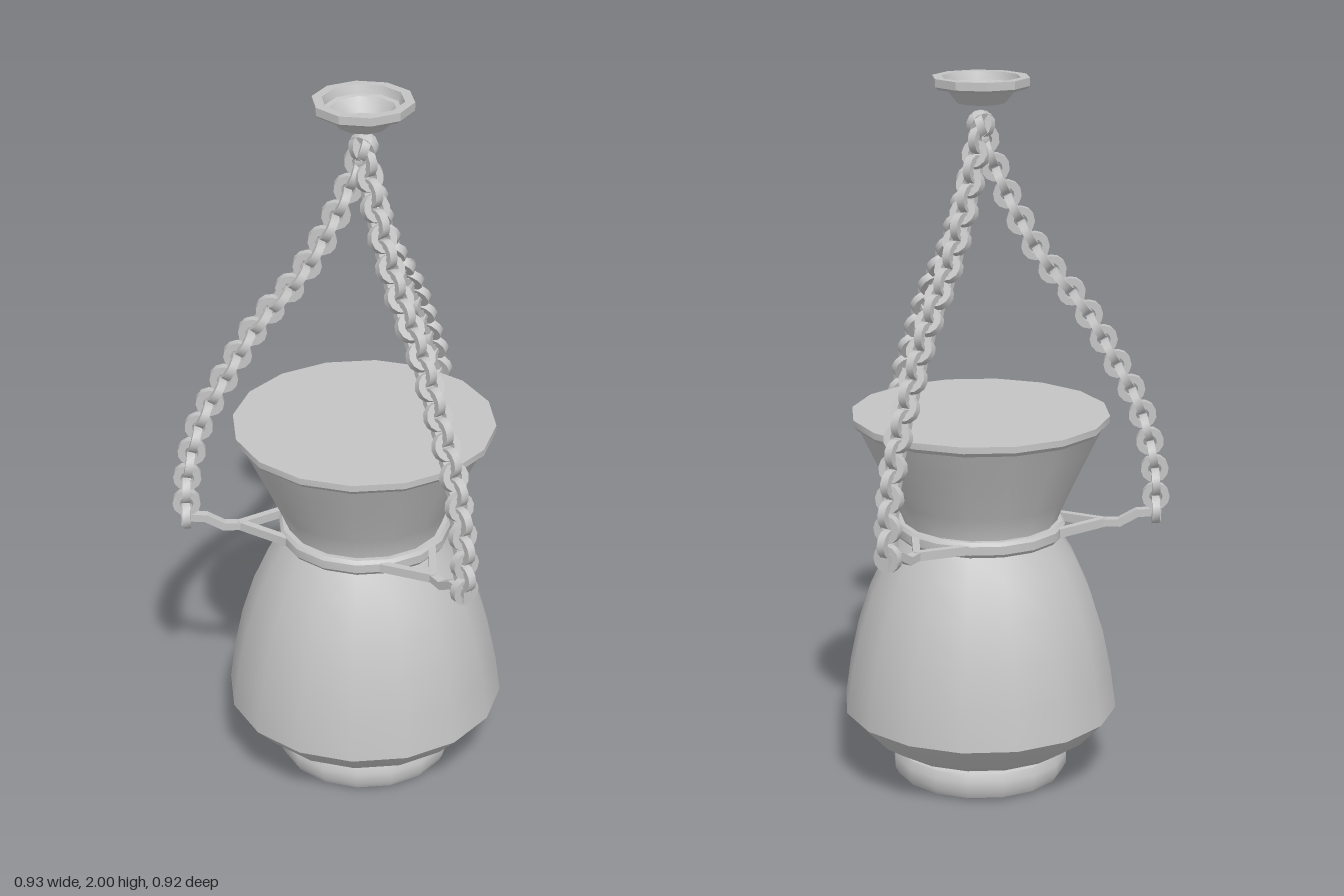
import * as THREE from 'three';
import { toCreasedNormals } from 'three/addons/utils/BufferGeometryUtils.js';

const metal = new THREE.MeshStandardMaterial({ color: 0xc4c4c4 });
metal.name = 'grey metal';

// Turned part from [radius, height] pairs, listed bottom to top
function turned(name, profile, sides, crease = 0.6) {
  const pts = profile.map(([r, y]) => new THREE.Vector2(r, y));
  const mesh = new THREE.Mesh(toCreasedNormals(new THREE.LatheGeometry(pts, sides), crease), metal);
  mesh.name = name;
  return mesh;
}

// Square bar between two points
function bar(name, a, b, width, height) {
  const from = new THREE.Vector3(...a), to = new THREE.Vector3(...b);
  const mesh = new THREE.Mesh(new THREE.BoxGeometry(width, height, from.distanceTo(to) + 0.01), metal);
  mesh.position.copy(from).lerp(to, 0.5);
  mesh.lookAt(to);
  mesh.name = name;
  return mesh;
}

// Flat-sided ring used for every chain link
const linkGeometry = toCreasedNormals(new THREE.LatheGeometry(
  [[0.019, -0.011], [0.039, -0.011], [0.039, 0.011], [0.019, 0.011], [0.019, -0.011]]
    .map(([r, y]) => new THREE.Vector2(r, y)), 12), 0.6);

// Chain hanging in the local y-z plane, z pointing outwards
function makeChain() {
  const chain = new THREE.Group();
  chain.name = 'chain';
  const path = new THREE.CatmullRomCurve3([
    [0, 1.87], [0.026, 1.79], [0.09, 1.645], [0.17, 1.508], [0.286, 1.365], [0.37, 1.222],
    [0.444, 1.08], [0.485, 0.92], [0.492, 0.82], [0.492, 0.785],
  ].map(([r, y]) => new THREE.Vector3(0, y, r)));
  const count = 31;
  for (let i = 0; i < count; i++) {
    const u = i / (count - 1);
    const link = new THREE.Mesh(linkGeometry, metal);
    link.position.copy(path.getPointAt(u));
    const along = path.getTangentAt(u);
    const side = new THREE.Vector3(1, 0, 0);
    const normal = new THREE.Vector3().crossVectors(along, side);
    // Alternate links lie in and across the chain's plane
    const axes = i % 2 ? [along, side, normal.clone().negate()] : [side, normal, along];
    const m = new THREE.Matrix4();
    if (i % 2) m.makeBasis(normal, side.clone(), along.clone().cross(side).cross(side).lengthSq() ? normal.clone().cross(side) : along);
    else m.makeBasis(axes[0], axes[1], new THREE.Vector3().crossVectors(axes[0], axes[1]));
    link.quaternion.setFromRotationMatrix(m);
    link.name = 'chainLink';
    chain.add(link);
  }
  return chain;
}

// Forked arm from the collar out to the chain
function makeArm() {
  const arm = new THREE.Group();
  arm.name = 'arm';
  for (const s of [-1, 1]) arm.add(bar('armFork', [s * 0.08, 0.742, 0.22], [0, 0.748, 0.345], 0.02, 0.025));
  const steps = [[0.335, 0.748], [0.39, 0.748], [0.44, 0.776], [0.495, 0.78]];
  for (let i = 0; i < steps.length - 1; i++) {
    const [[r0, y0], [r1, y1]] = [steps[i], steps[i + 1]];
    arm.add(bar('armBar', [0, y0, r0], [0, y1, r1], 0.024, 0.022));
  }
  const tip = new THREE.Mesh(new THREE.BoxGeometry(0.024, 0.045, 0.022), metal);
  tip.position.set(0, 0.778, 0.497);
  tip.name = 'armTip';
  arm.add(tip);
  return arm;
}

export function createModel() {
  const model = new THREE.Group();
  model.name = 'hangingLamp';

  // Vessel
  model.add(turned('foot', [[0, 0], [0.22, 0], [0.24, 0.01], [0.25, 0.03], [0.25, 0.06],
    [0.24, 0.082], [0.22, 0.092], [0, 0.092]], 16));
  model.add(turned('body', [[0, 0.085], [0.225, 0.088], [0.27, 0.105], [0.325, 0.14], [0.39, 0.21],
    [0.375, 0.32], [0.35, 0.44], [0.315, 0.55], [0.27, 0.65], [0.225, 0.722], [0, 0.722]], 16));
  model.add(turned('collar', [[0.2, 0.718], [0.232, 0.718], [0.24, 0.728], [0.24, 0.752],
    [0.232, 0.762], [0.2, 0.762]], 16));
  model.add(turned('neck', [[0.215, 0.72], [0.218, 0.765], [0.245, 0.83], [0.282, 0.91],
    [0.315, 0.98], [0.345, 1.042]], 16));
  model.add(turned('rim', [[0.335, 1.04], [0.35, 1.04], [0.361, 1.052], [0.361, 1.07], [0, 1.07]], 16));

  // Hollow ceiling cup
  model.add(turned('ceilingCup', [[0, 1.93], [0.066, 1.93], [0.1, 1.97], [0.125, 1.97], [0.134, 1.978],
    [0.134, 2], [0.108, 2], [0.1, 1.978], [0.088, 1.975], [0.06, 1.94], [0, 1.94]], 10));

  // Three chains with their arms
  for (let i = 0; i < 3; i++) {
    const hanger = new THREE.Group();
    hanger.name = 'hanger';
    hanger.add(makeChain(), makeArm());
    hanger.rotation.y = Math.PI + i * Math.PI * 2 / 3;
    model.add(hanger);
  }

  for (const part of model.children) part.position.z = 0.07;
  return model;
}
